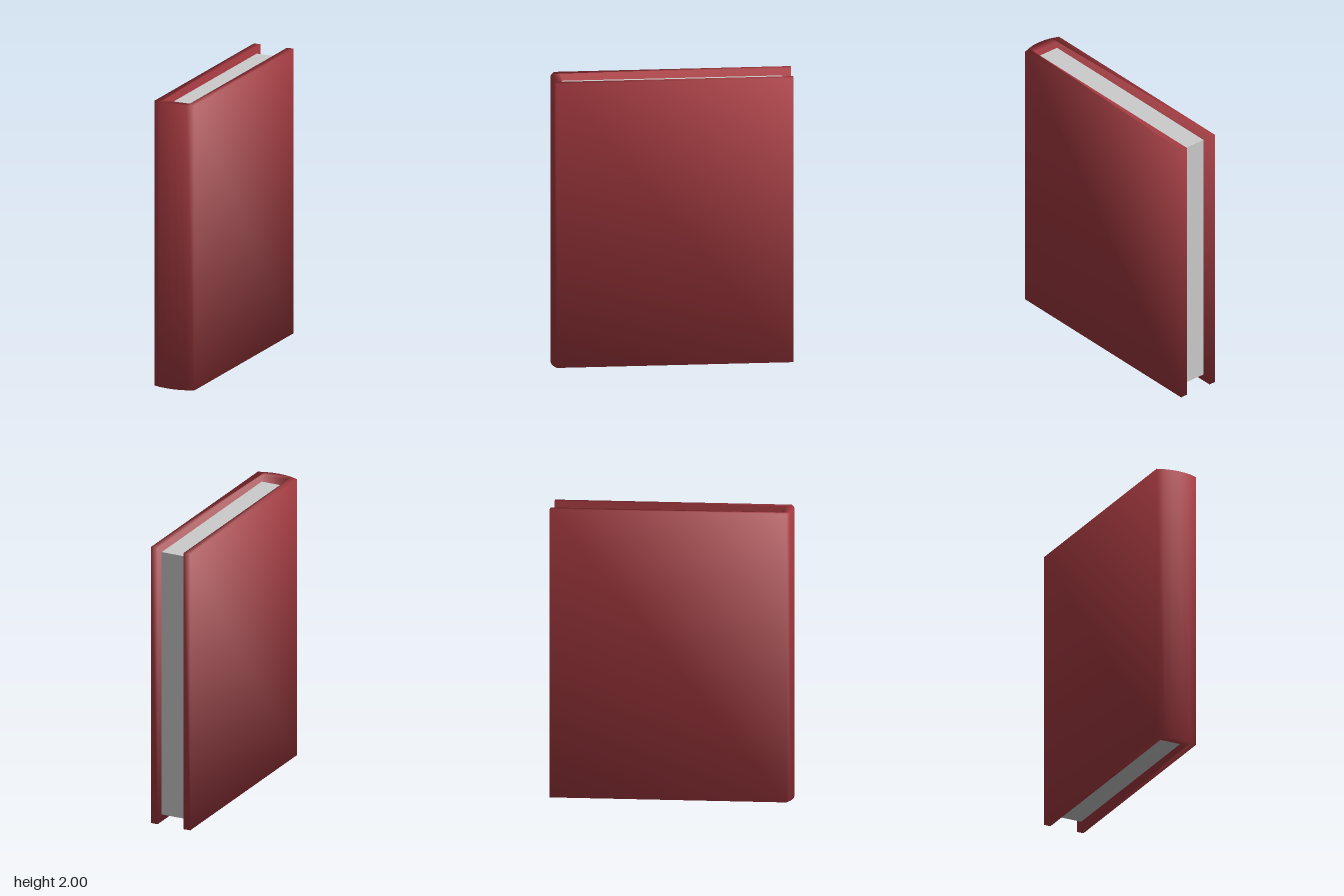
import * as THREE from 'three';

const HEIGHT = 2;
const SKEW = 0.026; // the book leans very slightly front to back

// Slides every vertex along z in proportion to its x
function skew(geometry) {
  const p = geometry.attributes.position;
  for (let i = 0; i < p.count; i++) p.setZ(i, p.getZ(i) + SKEW * p.getX(i));
  geometry.computeVertexNormals();
  return geometry;
}

// Soft shading: each corner takes the equal-weight mean of the faces that meet there
function softenNormals(geometry) {
  const p = geometry.attributes.position, n = geometry.attributes.normal;
  const corners = new Map();
  const keyAt = (i) => [p.getX(i), p.getY(i), p.getZ(i)].map((v) => Math.round(v * 1e4)).join();
  for (let i = 0; i < p.count; i++) {
    const key = keyAt(i), normal = new THREE.Vector3().fromBufferAttribute(n, i);
    if (!corners.has(key)) corners.set(key, []);
    const list = corners.get(key);
    if (!list.some((m) => m.dot(normal) > 0.9999)) list.push(normal);
  }
  for (let i = 0; i < p.count; i++) {
    const mean = new THREE.Vector3();
    corners.get(keyAt(i)).forEach((m) => mean.add(m));
    mean.normalize();
    n.setXYZ(i, mean.x, mean.y, mean.z);
  }
  return geometry;
}

export function createModel() {
  const book = new THREE.Group();
  book.name = 'book';

  // Cover: a U-shaped outline (two boards and a rounded spine) raised along y
  const outer = 0.15, inner = 0.1, back = -0.822, fold = 0.789, bulge = 0.033;
  const outline = [[-inner, 0.75], [-inner, back], [-outer, back]];
  const steps = 6;
  for (let i = 0; i <= steps; i++) {
    const t = (2 * i) / steps - 1;
    outline.push([outer * t, fold + bulge * (1 - t * t)]);
  }
  outline.push([outer, back], [inner, back], [inner, 0.75]);
  const shape = new THREE.Shape(outline.map(([x, z]) => new THREE.Vector2(x, -z)));
  const coverGeometry = new THREE.ExtrudeGeometry(shape, { depth: HEIGHT, bevelEnabled: false });
  coverGeometry.rotateX(-Math.PI / 2);
  const cover = new THREE.Mesh(
    softenNormals(skew(coverGeometry)),
    new THREE.MeshStandardMaterial({ color: 0xa53a40 })
  );
  cover.name = 'cover';
  book.add(cover);

  // Page block, set in from the top, bottom and open edge of the cover
  const pagesGeometry = new THREE.BoxGeometry(0.202, 1.9, 1.51);
  pagesGeometry.translate(0, HEIGHT / 2, -0.005);
  const pages = new THREE.Mesh(skew(pagesGeometry), new THREE.MeshStandardMaterial({ color: 0xcccccc }));
  pages.name = 'pages';
  book.add(pages);

  return book;
}
